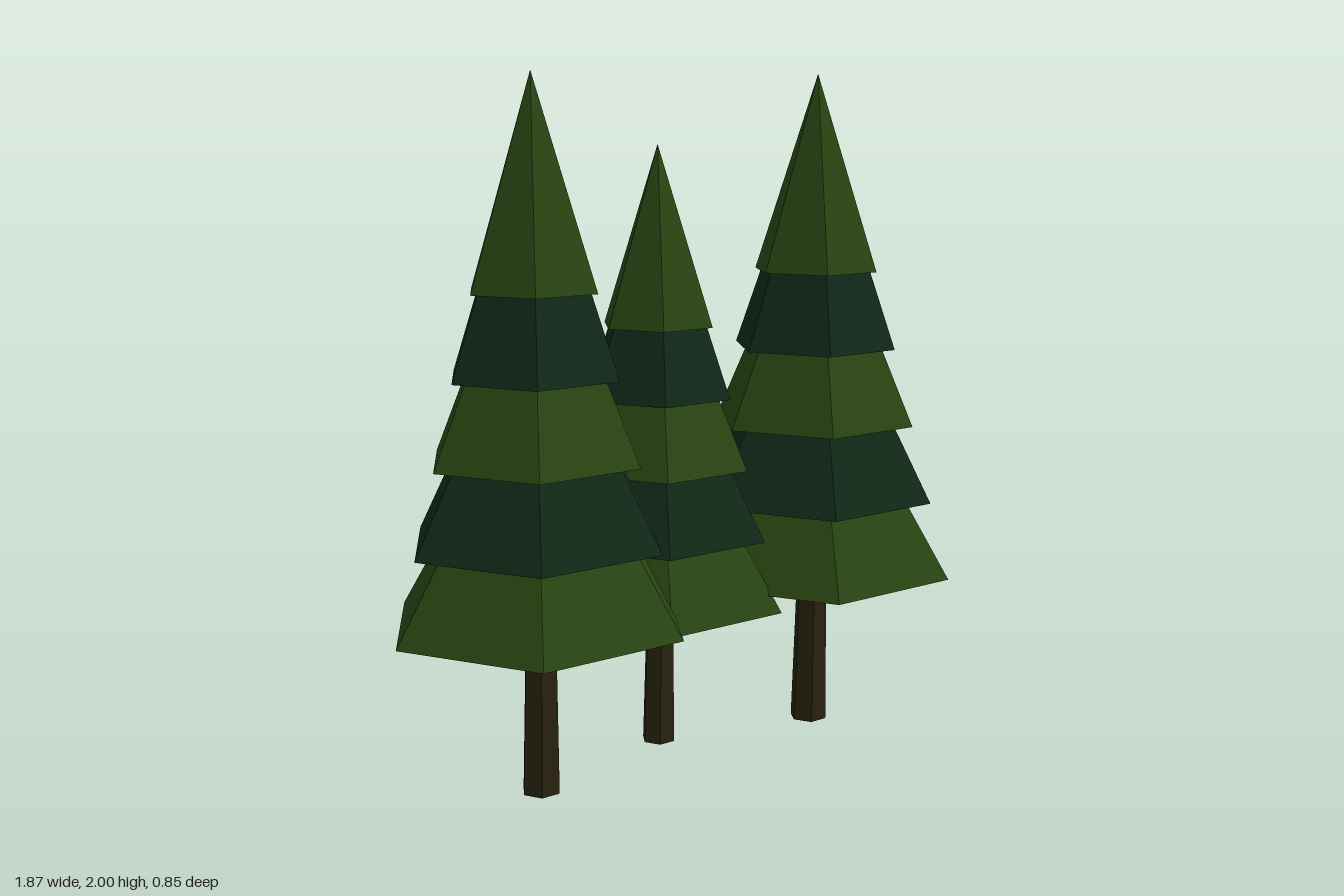
import * as THREE from 'three';

const mat = (name, color) => {
  const m = new THREE.MeshStandardMaterial({ color, flatShading: true });
  m.name = name;
  return m;
};

// Six-sided frustum standing on y = 0, with corners on the x axis
const hexFrustum = (top, bottom, height) =>
  new THREE.CylinderGeometry(top, bottom, height, 6, 1, false, Math.PI / 6)
    .translate(0, height / 2, 0);

export function createModel() {
  const leafGreen = mat('leaf green', 0x284512);
  const deepGreen = mat('deep green', 0x102818);
  const bark = mat('bark brown', 0x282210);

  // Foliage skirts, lowest first: base height and base radius
  const tiers = [[0.5, 0.44], [0.73, 0.378], [0.96, 0.316], [1.19, 0.255], [1.42, 0.193]];
  const coneHeight = 0.72; // each skirt is the lower part of a cone this tall
  const overlap = 0.02;    // tuck each skirt into the one above

  function makeTree(name) {
    const tree = new THREE.Group();
    tree.name = name;

    // Trunk, leaning very slightly towards +x
    const trunkGeo = hexFrustum(0.047, 0.058, 0.52);
    trunkGeo.applyMatrix4(new THREE.Matrix4().makeShear(0, 0, 0.013, 0, 0, 0));
    const trunk = new THREE.Mesh(trunkGeo, bark);
    trunk.name = 'trunk';
    tree.add(trunk);

    // Alternating foliage skirts, ending in a pointed crown
    tiers.forEach(([y, r], i) => {
      const isCrown = i === tiers.length - 1;
      const h = isCrown ? 2 - y : tiers[i + 1][0] - y + overlap;
      const top = isCrown ? 0 : r * (1 - h / coneHeight);
      const skirt = new THREE.Mesh(hexFrustum(top, r, h), i % 2 ? deepGreen : leafGreen);
      skirt.position.y = y;
      skirt.name = isCrown ? 'crown' : `foliageTier${i + 1}`;
      tree.add(skirt);
    });
    return tree;
  }

  const model = new THREE.Group();
  model.name = 'pineTrees';
  for (const [name, x, z, scale] of [
    ['rightTree', -0.497, 0.04, 1],
    ['leftTree', 0.497, 0.04, 1],
    ['middleTree', 0, -0.083, 0.9],
  ]) {
    const tree = makeTree(name);
    tree.position.set(x, 0, z);
    tree.scale.setScalar(scale);
    model.add(tree);
  }
  return model;
}
